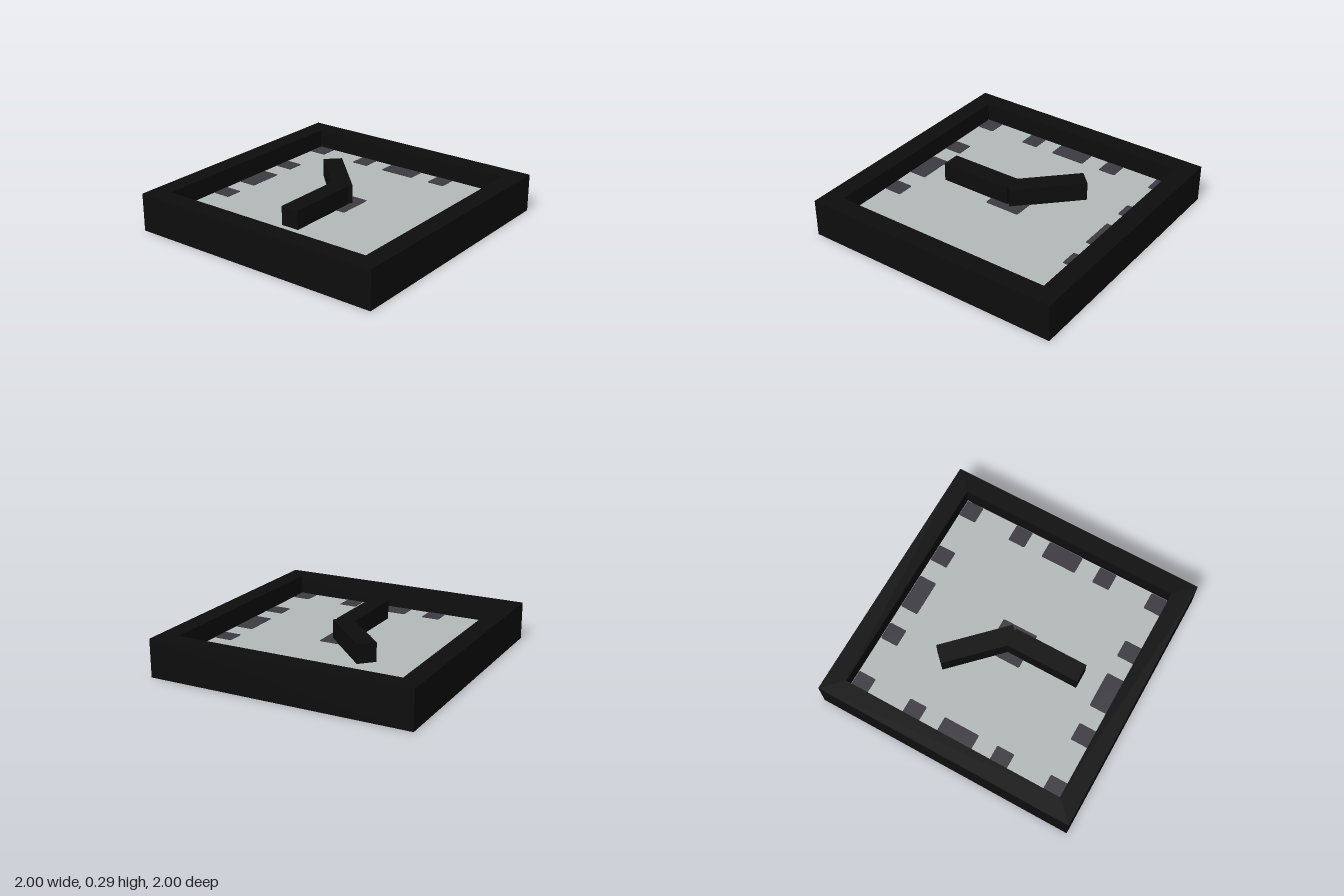
import * as THREE from 'three';

const U = 1 / 7; // module width: frame border, hands and hour marks share it

export function createModel() {
  const group = new THREE.Group();
  const mat = (name, color) => {
    const m = new THREE.MeshStandardMaterial({ color });
    m.name = name;
    return m;
  };
  const black = mat('black', 0x0d0d0d);
  const pale = mat('pale grey', 0xb3b9b9);
  const dark = mat('dark grey', 0x3d3b42);

  const add = (name, geometry, material, x = 0, y = 0, z = 0, turn = 0) => {
    const mesh = new THREE.Mesh(geometry, material);
    mesh.name = name;
    mesh.position.set(x, y, z);
    mesh.rotation.y = turn;
    group.add(mesh);
    return mesh;
  };

  // Square frame with an open middle
  const square = (Kind, r) => new Kind([[-r, -r], [r, -r], [r, r], [-r, r]].map(([x, y]) => new THREE.Vector2(x, y)));
  const outline = square(THREE.Shape, 1);
  outline.holes.push(square(THREE.Path, 6 * U));
  const frame = new THREE.ExtrudeGeometry(outline, { depth: 2 * U, bevelEnabled: false });
  frame.rotateX(-Math.PI / 2);
  add('frame', frame, black);

  // Back panel and dial inside the frame
  add('backPanel', new THREE.BoxGeometry(12 * U, U - 0.01, 12 * U), black, 0, (U - 0.01) / 2, 0);
  add('dial', new THREE.BoxGeometry(12 * U, 0.01, 12 * U), pale, 0, U - 0.005, 0);

  // Thin marks with slightly rounded corners
  const mark = (name, x, z, w, d) => {
    const a = w / 2 - 0.003, b = d / 2 - 0.003, r = 0.01;
    const s = new THREE.Shape();
    s.absarc(a - r, b - r, r, 0, Math.PI / 2);
    s.absarc(r - a, b - r, r, Math.PI / 2, Math.PI);
    s.absarc(r - a, r - b, r, Math.PI, 1.5 * Math.PI);
    s.absarc(a - r, r - b, r, 1.5 * Math.PI, 2 * Math.PI);
    const g = new THREE.ExtrudeGeometry(s, { depth: 0.003, bevelEnabled: false, curveSegments: 3 });
    g.rotateX(-Math.PI / 2);
    add(name, g, dark, x, U, z);
  };
  mark('centreMark', 0, 0, 2 * U, 2 * U);
  for (const side of [-1, 1]) {
    const edge = side * 5.5 * U;
    mark('quarterMark', 0, edge, 2 * U, U);
    mark('quarterMark', edge, 0, U, 2 * U);
    for (const s of [-1, 1]) {
      mark('cornerMark', s * 5.5 * U, edge, U, U);
      mark('hourMark', s * 2.5 * U, edge, U, U);
      mark('hourMark', edge, s * 2.5 * U, U, U);
    }
  }

  // Two hands, level with the frame top
  const hand = new THREE.BoxGeometry(4 * U, U, U);
  add('hourHand', hand, black, -2 * U, 1.5 * U, 0);
  add('minuteHand', hand, black, 0.185, 1.5 * U - 0.001, -0.166, Math.PI / 4);

  return group;
}
